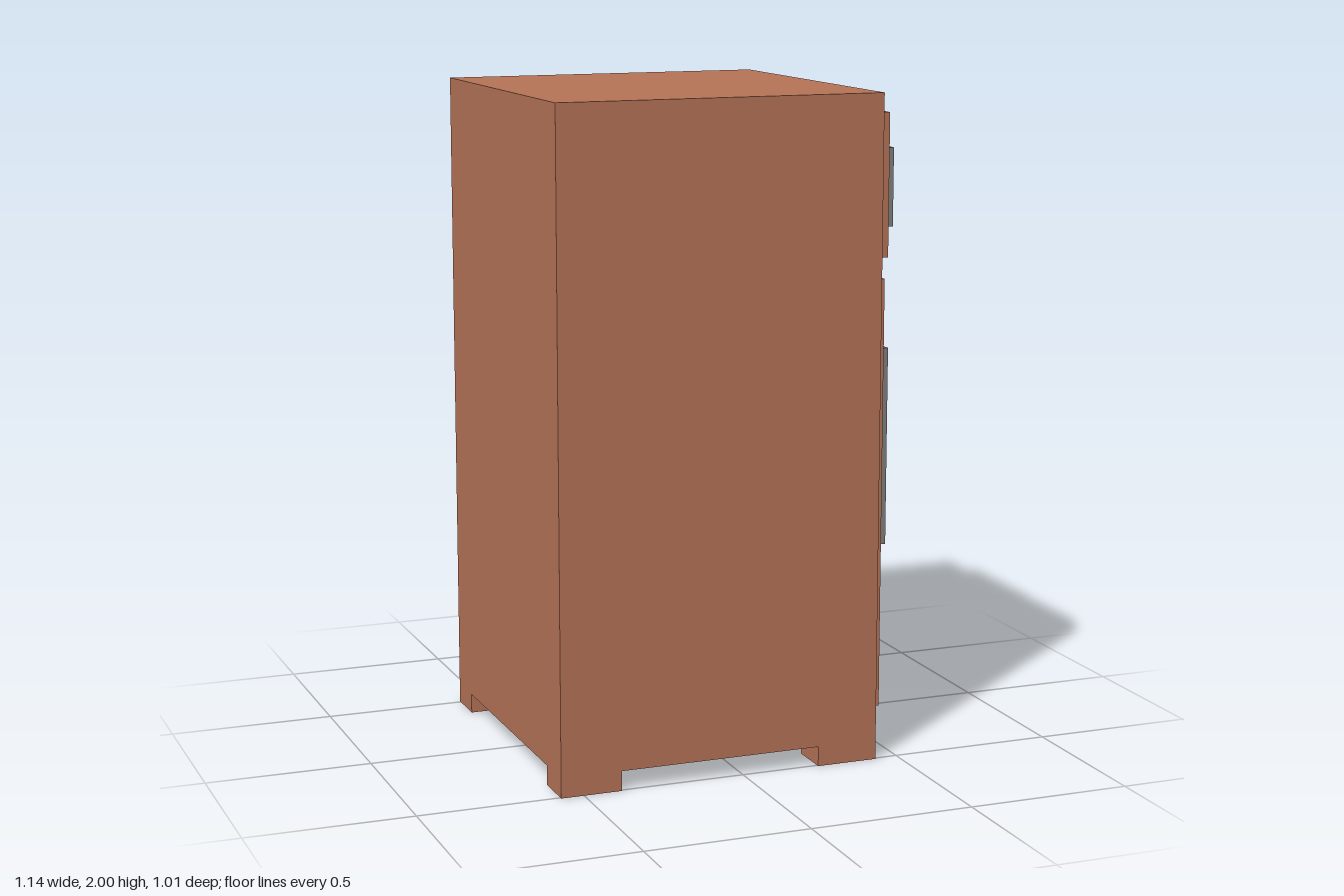
import * as THREE from 'three';

const paint = new THREE.MeshStandardMaterial({ color: 0xb87558 });
const metal = new THREE.MeshStandardMaterial({ color: 0x828282 });

// Box given by its [min, max] range on each axis
function addBox(parent, name, material, [x0, x1], [y0, y1], [z0, z1]) {
  const mesh = new THREE.Mesh(new THREE.BoxGeometry(x1 - x0, y1 - y0, z1 - z0), material);
  mesh.position.set((x0 + x1) / 2, (y0 + y1) / 2, (z0 + z1) / 2);
  mesh.name = name;
  parent.add(mesh);
}

export function createModel() {
  const fridge = new THREE.Group();
  fridge.name = 'refrigerator';

  // Cabinet; its door side faces +x
  const back = -0.57, front = 0.428, halfDepth = 0.507, footHeight = 0.06;
  addBox(fridge, 'cabinet', paint, [back, front], [footHeight, 2], [-halfDepth, halfDepth]);

  // Four corner feet
  const feet = new THREE.Group();
  feet.name = 'feet';
  for (const [label, xs] of [['back', [back, -0.383]], ['front', [0.24, front]]]) {
    addBox(feet, label + 'FootLeft', paint, xs, [0, footHeight], [-halfDepth, -0.378]);
    addBox(feet, label + 'FootRight', paint, xs, [0, footHeight], [0.378, halfDepth]);
  }
  fridge.add(feet);

  // Doors with their upright bar handles
  const doors = [
    { name: 'freezerDoor', face: 0.504, y: [1.503, 1.932], grip: [1.58, 1.817] },
    { name: 'fridgeDoor', face: 0.494, y: [0.125, 1.44], grip: [0.603, 1.212] },
  ];
  for (const { name, face, y, grip } of doors) {
    addBox(fridge, name, paint, [front, face], y, [-0.388, 0.386]);
    addBox(fridge, name + 'Handle', metal, [face, face + 0.064], grip, [0.23, 0.282]);
  }
  return fridge;
}
